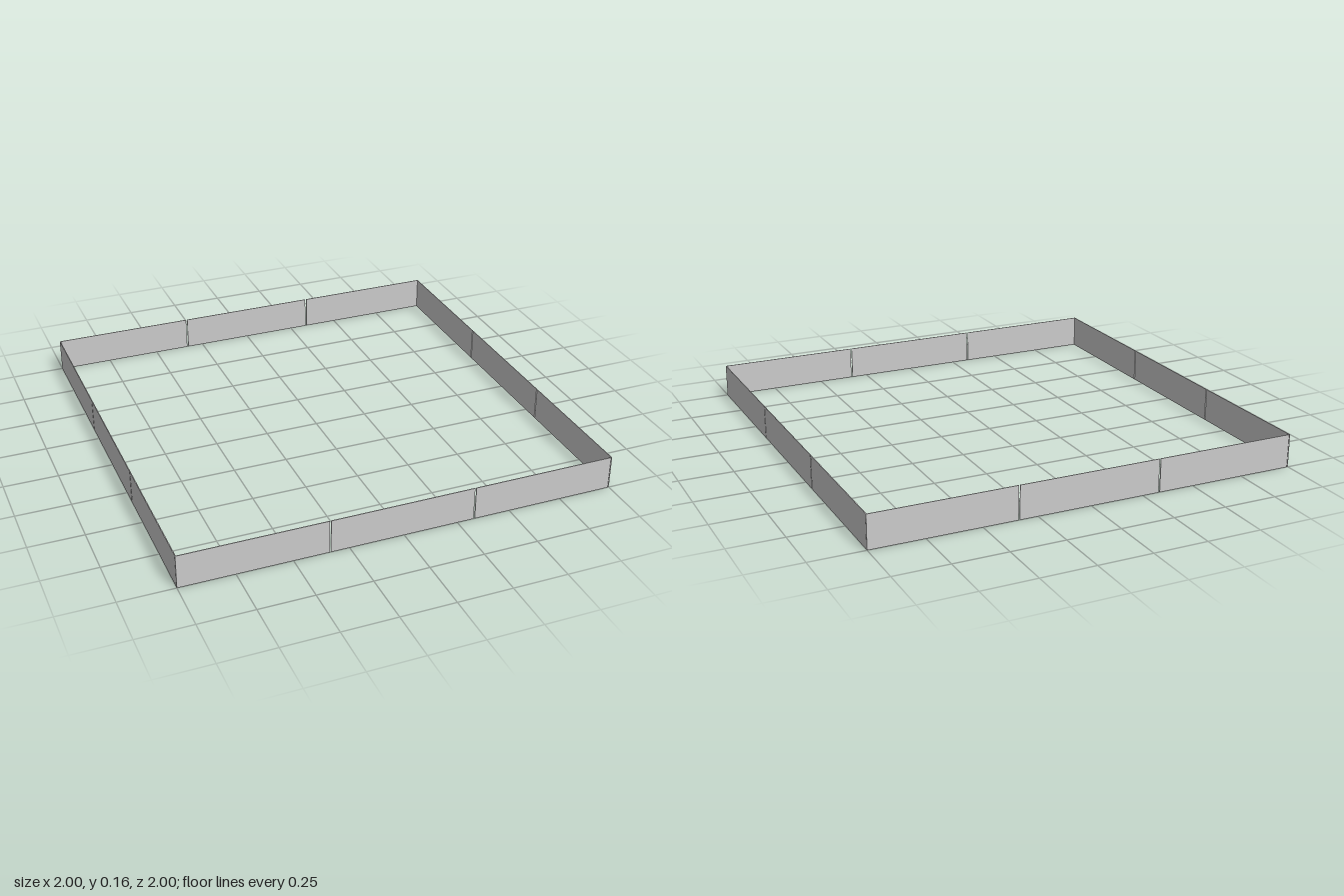
import * as THREE from 'three';

const HEIGHT = 0.155, THICK = 0.004;
const PITCH = 2 / 3, GAP = 0.006; // three panels per side, a slim gap after each

export function createModel() {
  const model = new THREE.Group();
  model.name = 'squareFence';
  const material = new THREE.MeshStandardMaterial({ color: 0xcccccc });
  const panelGeometry = new THREE.BoxGeometry(PITCH - GAP, HEIGHT, THICK);

  // four sides, each turned a quarter so the corners meet like a pinwheel
  ['front', 'left', 'back', 'right'].forEach((name, i) => {
    const side = new THREE.Group();
    side.name = name + 'Side';
    side.rotation.y = i * Math.PI / 2;
    for (let k = 0; k < 3; k++) {
      const panel = new THREE.Mesh(panelGeometry, material);
      panel.name = name + 'Panel' + (k + 1);
      panel.position.set(-1 + k * PITCH + (PITCH - GAP) / 2, HEIGHT / 2, 1 - THICK / 2);
      side.add(panel);
    }
    model.add(side);
  });
  return model;
}
